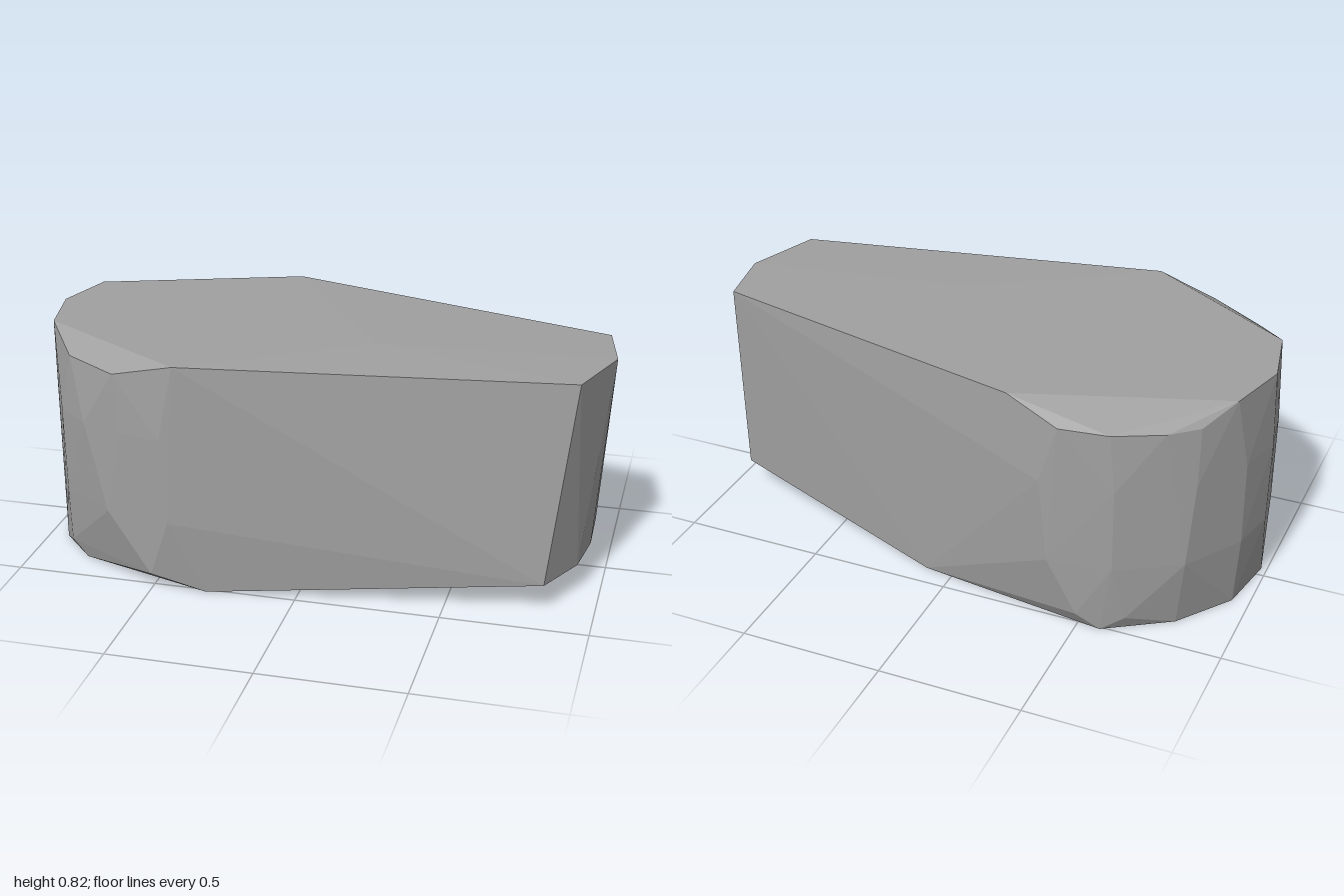
import * as THREE from 'three';
import { ConvexGeometry } from 'three/addons/geometries/ConvexGeometry.js';

// Corner points [x, z] of each level of the faceted boulder
const levels = [
  // flat underside of the blunt end
  { y: 0, corners: [[-0.98, 0.04], [-0.93, 0.22], [-0.8, 0.36], [-0.31, 0.515], [0.2, 0.05], [0.2, -0.12], [0.1, -0.42], [-0.58, -0.51], [-0.8, -0.37], [-0.94, -0.18]] },
  // lower bevel
  { y: 0.055, corners: [[-0.86, 0.345], [-0.5, 0.535], [-0.5, -0.532], [-0.66, -0.49]] },
  // lifted underside of the narrow end
  { y: 0.1, corners: [[0.83, 0.38], [0.92, 0.2], [0.945, 0.02], [0.94, -0.18]] },
  // bulging sides
  { y: 0.26, corners: [[-0.995, -0.03], [-0.97, 0.13], [-0.86, 0.36], [-0.66, 0.5], [-0.43, 0.55], [-0.4, -0.552], [-0.62, -0.525], [-0.83, -0.4], [-0.96, -0.2]] },
  { y: 0.56, corners: [[-1, -0.03], [-0.97, 0.14], [-0.87, 0.35], [-0.75, 0.455], [-0.6, 0.517], [-0.45, 0.547], [-0.37, -0.553], [-0.62, -0.53], [-0.85, -0.385], [-0.96, -0.2]] },
  // upper bevel
  { y: 0.768, corners: [[-0.82, 0.375], [-0.62, 0.508], [-0.43, -0.55], [-0.6, -0.528], [-0.76, -0.45], [-0.85, -0.37]] },
  // top of the narrow end
  { y: 0.803, corners: [[0.91, 0.315], [1, 0.05], [0.955, -0.18]] },
  // top of the blunt end
  { y: 0.823, corners: [[-0.4, 0.537], [-0.945, 0.2], [-0.992, -0.03], [-0.93, -0.25], [-0.23, -0.493], [0.05, -0.05], [0.2, 0.15]] },
];

export function createModel() {
  const group = new THREE.Group();
  group.name = 'boulder';

  const stone = new THREE.MeshStandardMaterial({ color: 0xa0a0a0 });
  stone.name = 'grey stone';

  const points = levels.flatMap(({ y, corners }) =>
    corners.map(([x, z]) => new THREE.Vector3(x, y, z)));
  const rock = new THREE.Mesh(new ConvexGeometry(points), stone);
  rock.name = 'rock';
  group.add(rock);
  return group;
}
